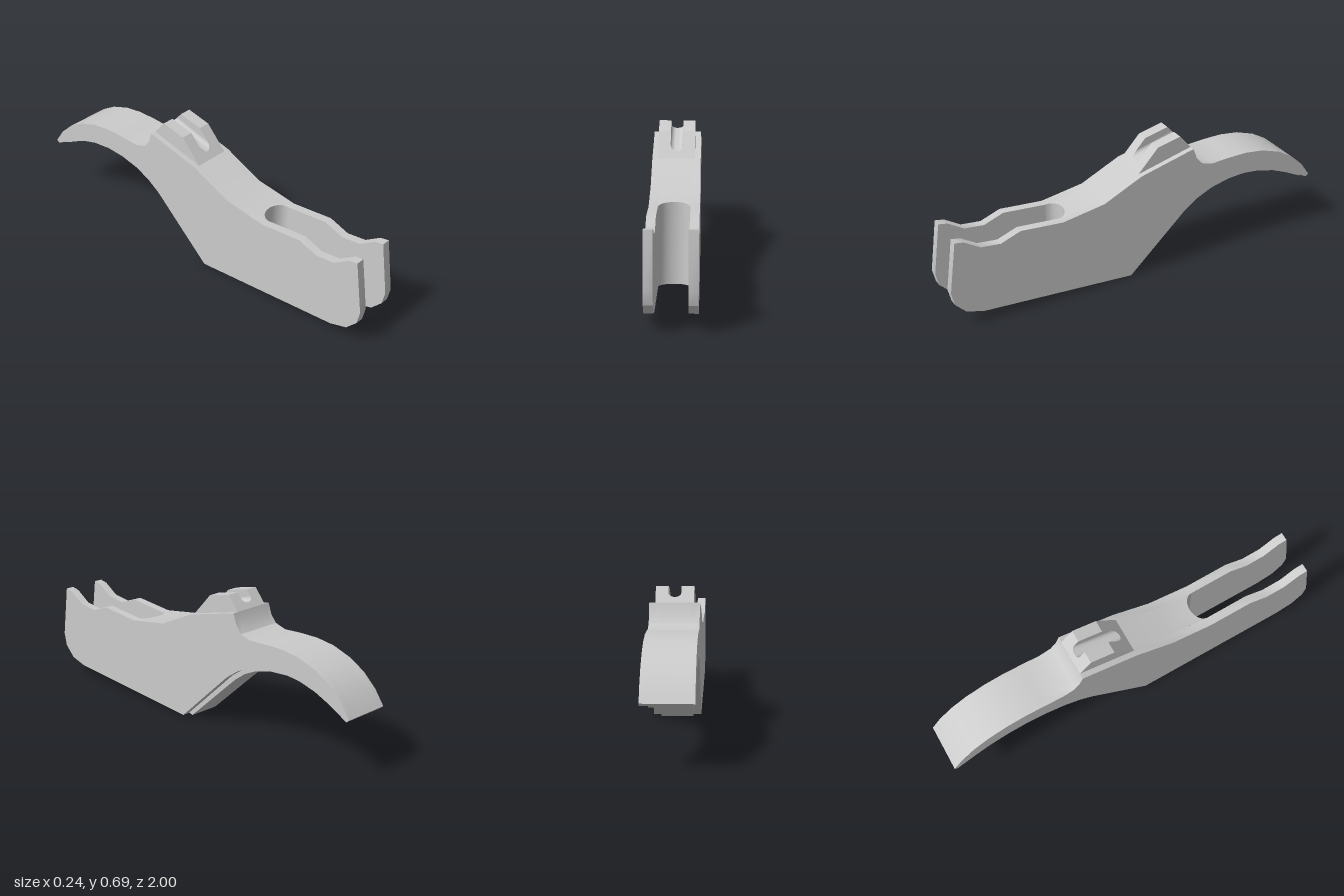
import * as THREE from 'three';
import { toCreasedNormals } from 'three/addons/utils/BufferGeometryUtils.js';

const material = new THREE.MeshStandardMaterial({ color: 0xcccccc });

// Lofts a [z, y] outline along x. The outline runs front, top, back, underside and may vary with x.
function loft(name, outline, xs, caps = true) {
  const rings = xs.map(x => outline(x));
  const n = rings[0].length;
  const pos = [];
  const put = (k, i) => pos.push(xs[k], rings[k][i][1], rings[k][i][0]);
  for (let k = 0; k < xs.length - 1; k++) {
    for (let i = 0; i < n; i++) {
      const j = (i + 1) % n;
      put(k, i); put(k + 1, j); put(k, j);
      put(k, i); put(k + 1, i); put(k + 1, j);
    }
  }
  if (caps) {
    for (const k of [0, xs.length - 1]) {
      const pts = rings[k].map(p => new THREE.Vector2(p[0], p[1]));
      for (const [a, b, c] of THREE.ShapeUtils.triangulateShape(pts, [])) {
        const area = pts[b].clone().sub(pts[a]).cross(pts[c].clone().sub(pts[a]));
        const facesLeft = area < 0;
        const order = facesLeft === (k > 0) ? [a, b, c] : [a, c, b];
        order.forEach(i => put(k, i));
      }
    }
  }
  const geometry = new THREE.BufferGeometry();
  geometry.setAttribute('position', new THREE.Float32BufferAttribute(pos, 3));
  const mesh = new THREE.Mesh(toCreasedNormals(geometry, 0.5), material);
  mesh.name = name;
  return mesh;
}

// Evenly spaced angles give x samples that crowd towards the edges
const arcSamples = (half, n) =>
  Array.from({ length: n + 1 }, (_, i) => -half * Math.cos((i / n) * Math.PI));

const HALF = 0.118, SLOT = 0.075, HUMP = 0.09, GROOVE = 0.03;

// Outline pieces as [z, y]
const prongTop = [[1, 0.2], [0.965, 0.46], [0.92, 0.452], [0.84, 0.402], [0.74, 0.392],
  [0.64, 0.43], [0.42, 0.413]];
const back = [[0.2, 0.45], [0, 0.545], [-0.29, 0.62], [-0.31, 0.565], [-0.34, 0.53],
  [-0.4, 0.513], [-0.5, 0.52], [-0.6, 0.522], [-0.7, 0.51], [-0.8, 0.478],
  [-0.88, 0.433], [-0.95, 0.37], [-1, 0.3]];
const underside = [[-0.985, 0.287], [-0.88, 0.342], [-0.8, 0.376], [-0.7, 0.402], [-0.6, 0.411],
  [-0.5, 0.403], [-0.4, 0.378], [-0.32, 0.341], [-0.25, 0.292], [0.056, 0.005]];
const prongBottom = [[0.84, 0.055], [0.93, 0.08], [0.985, 0.135]];

export function createModel() {
  const model = new THREE.Group();
  model.name = 'lever';

  // Side cheeks, running forward into the two prongs
  const cheek = () => [...prongTop, ...back, ...underside, ...prongBottom];
  model.add(loft('leftCheek', cheek, [SLOT, HALF]));
  model.add(loft('rightCheek', cheek, [-HALF, -SLOT]));

  // Core between the cheeks, its front hollowed into the rounded slot end
  const core = x => {
    const z = 0.42 - 0.055 * Math.sqrt(Math.max(0, 1 - (x / SLOT) ** 2));
    const top = 0.45 - (z - 0.2) * 0.168;
    const bottom = 0.005 + (z - 0.056) * 0.0638;
    return [[z, top], ...back, ...underside, [z, bottom]];
  };
  model.add(loft('core', core, arcSamples(SLOT, 12), false));

  // Narrow rib standing proud of the underside
  const ribBottom = [[-0.972, 0.278], [-0.88, 0.322], [-0.8, 0.354], [-0.7, 0.378], [-0.6, 0.387],
    [-0.5, 0.379], [-0.4, 0.353], [-0.33, 0.32], [-0.265, 0.272], [0.032, 0]];
  const ribRoot = underside.map(([z, y]) => [z, y + 0.004]).reverse();
  model.add(loft('undersideRib', () => [...ribRoot, ...ribBottom], [-0.08, 0.08]));

  // Raised hump: a rail on each side of a groove
  const rail = () => [[0, 0.545], [-0.105, 0.66], [-0.23, 0.69], [-0.29, 0.62]];
  model.add(loft('leftHumpRail', rail, [GROOVE, HUMP]));
  model.add(loft('rightHumpRail', rail, [-HUMP, -GROOVE]));

  // Concave sloping groove floor, ending on the hump's front and back faces
  const floor = x => {
    const lift = 0.022 * (1 - Math.sqrt(Math.max(0, 1 - (x / GROOVE) ** 2)));
    const s = (0.023 + lift) / 0.83;
    const t = 0.27 - lift / 1.43;
    return [[0, 0.545], [-s, 0.545 + 1.095 * s], [-t, 0.69 - 1.167 * (t - 0.23)], [-0.29, 0.62]];
  };
  model.add(loft('grooveFloor', floor, arcSamples(GROOVE, 10), false));

  return model;
}
